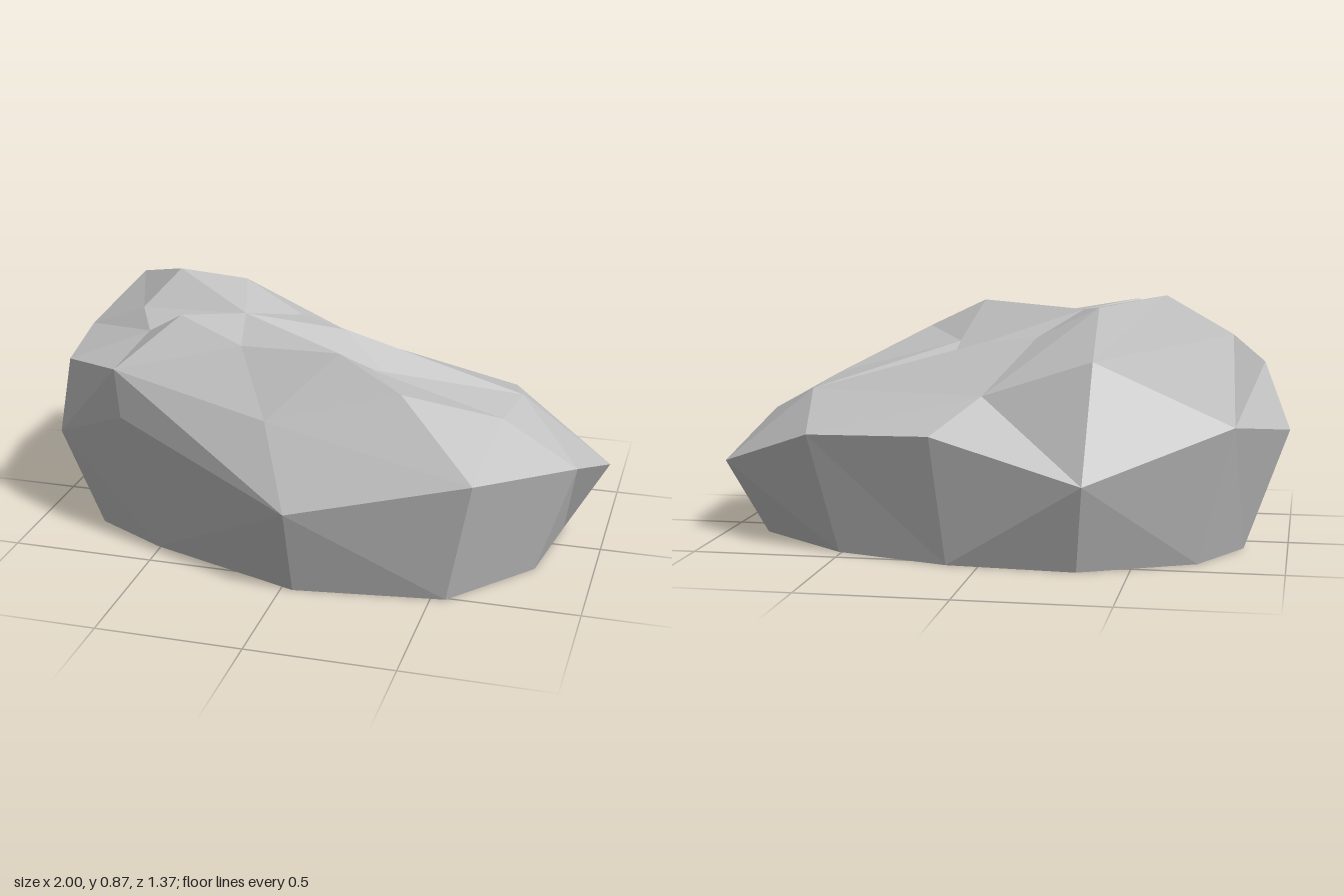
import * as THREE from 'three';

// Footprint on the ground and the widest belt above it: matching loops of [x, y, z]
const foot = [
  [0.80, 0, 0.21], [0.85, 0, -0.14], [0.51, 0, -0.42], [0.11, 0, -0.55],
  [-0.33, 0, -0.58], [-0.71, 0, -0.39], [-0.85, 0, -0.12], [-0.77, 0, 0.25],
  [-0.51, 0, 0.39], [0.04, 0, 0.58], [0.55, 0, 0.51],
];
const belt = {
  E: [0.93, 0.40, 0.23], F: [1.00, 0.26, -0.16], G: [0.61, 0.41, -0.46],
  H: [0.15, 0.44, -0.625], I: [-0.36, 0.30, -0.685], J: [-0.83, 0.47, -0.46],
  A: [-1.00, 0.42, -0.13], B: [-0.91, 0.35, 0.27], n: [-0.61, 0.50, 0.44],
  C: [0.04, 0.325, 0.685], D: [0.645, 0.46, 0.60],
};

// Shoulder corners around the upper edge
const shoulder = {
  O: [-0.86, 0.63, 0.27], N: [-0.63, 0.67, 0.43], g: [-0.06, 0.59, 0.55],
  M: [-0.19, 0.78, 0.38], L: [0.16, 0.805, 0.43], K: [0.38, 0.70, 0.475],
  d: [0.67, 0.545, 0.21], Z: [0.69, 0.52, -0.09], Y: [0.01, 0.55, -0.43],
  X: [-0.37, 0.68, -0.50], U: [-0.815, 0.765, -0.365], W: [-0.91, 0.645, -0.07],
};

// Crown: the peak, the hollow beside it and the gully running to the left
const crown = {
  S: [-0.575, 0.87, -0.11], e: [-0.35, 0.83, -0.18], T: [-0.67, 0.76, 0.03],
  P: [-0.58, 0.74, 0.21], R: [-0.44, 0.83, 0.27], Q: [-0.26, 0.80, 0.11],
  a: [0.05, 0.70, -0.09], b: [0.22, 0.59, 0.03], c: [0.21, 0.67, 0.20],
  f: [-0.13, 0.72, -0.15],
};

// Facets of the upper rock: the first letter is a hub, the rest is its rim
const fans = [
  'QRMLcbafeSTPR', 'faYe', 'aYZ', 'ZYGFEdcba', 'dEDKc', 'cKL', 'gCDKLMNC', 'NnC',
  'MRN', 'NnBO', 'WOBAJU', 'TSUWP', 'PWONR', 'XUJIYeSU', 'YGHI',
];

function createRockGeometry() {
  const points = { ...belt, ...shoulder, ...crown };
  const centre = new THREE.Vector3(-0.05, 0.25, 0);
  const positions = [];

  // Adds one facet, wound so that it faces away from the core
  const facet = (p, q, r) => {
    const [u, v, w] = [p, q, r].map((k) => new THREE.Vector3(...k));
    const normal = v.clone().sub(u).cross(w.clone().sub(u));
    const outward = normal.dot(u.clone().sub(centre)) > 0;
    for (const k of outward ? [u, v, w] : [u, w, v]) positions.push(k.x, k.y, k.z);
  };

  // Underside and the sloping band up to the belt; two panels fold the other way
  const names = Object.keys(belt);
  foot.forEach((p, i) => {
    const j = (i + 1) % foot.length;
    const upper = belt[names[i]], nextUpper = belt[names[j]];
    const folded = 'Hn'.includes(names[i]);
    facet([0, 0, 0], p, foot[j]);
    facet(p, foot[j], folded ? nextUpper : upper);
    facet(upper, nextUpper, folded ? p : foot[j]);
  });

  // Upper facets
  for (const fan of fans) {
    const [hub, ...rim] = [...fan].map((k) => points[k]);
    for (let i = 0; i + 1 < rim.length; i++) facet(hub, rim[i], rim[i + 1]);
  }

  const geometry = new THREE.BufferGeometry();
  geometry.setAttribute('position', new THREE.Float32BufferAttribute(positions, 3));
  geometry.computeVertexNormals();
  return geometry;
}

export function createModel() {
  const stone = new THREE.MeshStandardMaterial({ color: 0xc3c3c3, flatShading: true });
  stone.name = 'light grey stone';

  const rock = new THREE.Mesh(createRockGeometry(), stone);
  rock.name = 'boulder';

  const model = new THREE.Group();
  model.name = 'rock';
  model.add(rock);
  return model;
}
